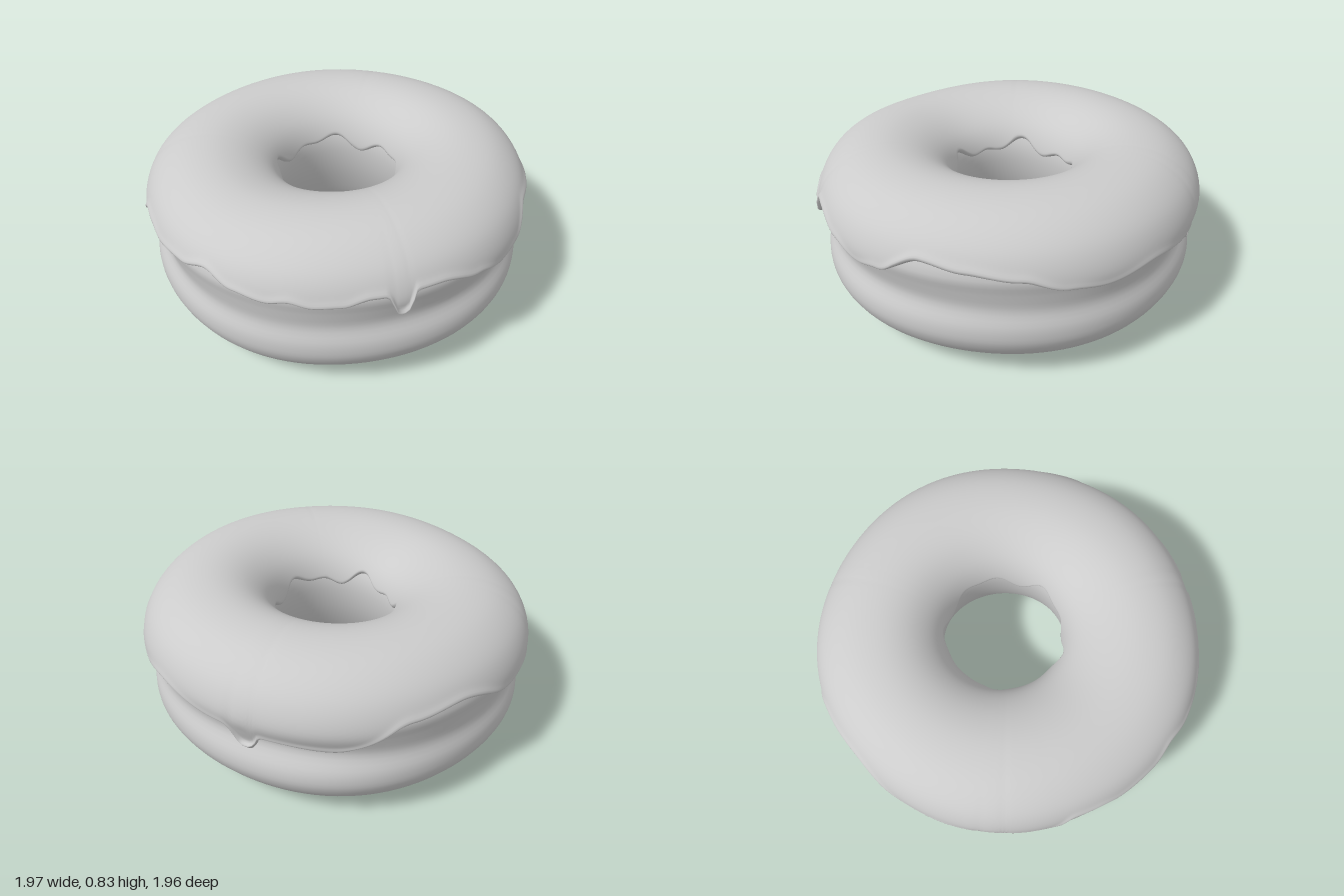
import * as THREE from 'three';

const RAD = Math.PI / 180;
const bell = (x, w) => Math.exp(-(x * x) / (w * w));
// signed angle difference in degrees
const turn = (a, b) => ((a - b + 540) % 360) - 180;

// Dough cross-section (radius, height): from the underside, up the outside, over the top, down the hole
const TOP = 10 / 18;
const profile = new THREE.CatmullRomCurve3([
  [0.62, 0.015], [0.76, 0.035], [0.89, 0.11], [0.955, 0.215], [0.957, 0.3], [0.925, 0.39],
  [0.937, 0.48], [0.95, 0.56], [0.9, 0.67], [0.78, 0.755], [0.62, 0.78], [0.48, 0.745],
  [0.375, 0.665], [0.325, 0.56], [0.325, 0.42], [0.37, 0.25], [0.45, 0.09], [0.53, 0.03],
].map(([r, y]) => new THREE.Vector3(r, y, 0)), true);

// Lower edge of the icing outside: angle from the front (towards +x) and height
const rim = [
  [-85, 0.5], [-76, 0.51], [-69, 0.5], [-53, 0.5], [-46, 0.5], [-38, 0.56], [-31, 0.555],
  [-24, 0.54], [-12, 0.55], [-3, 0.585], [6, 0.55], [15, 0.54], [21, 0.552], [27, 0.54], [34, 0.545],
  [42, 0.57], [60, 0.58], [72, 0.55], [82, 0.52], [90, 0.54], [102, 0.62], [114, 0.6],
  [128, 0.58], [140, 0.54], [150, 0.525], [165, 0.55], [186, 0.51], [202, 0.475], [218, 0.455],
  [238, 0.57], [252, 0.585], [275, 0.5],
];
// Drips: angle, length, half width in degrees
const drips = [[-62, 0.14, 3.6], [49.5, 0.085, 2.6], [194, 0.13, 3.4]];
const dripAmount = (deg, [at, , w]) => Math.exp(-Math.pow(Math.abs(turn(deg, at)) / w, 3));

function rimHeight(deg) {
  const d = deg > 275 ? deg - 360 : deg;
  const i = Math.max(1, rim.findIndex(p => p[0] >= d));
  const [a0, y0] = rim[i - 1], [a1, y1] = rim[i];
  let y = THREE.MathUtils.lerp(y0, y1, THREE.MathUtils.smoothstep(d, a0, a1));
  for (const drip of drips) y -= drip[1] * dripAmount(deg, drip);
  return y;
}

const holeHeight = deg => 0.56 + 0.025 * Math.sin(5 * deg * RAD + 1) + 0.018 * Math.sin(9 * deg * RAD);

// Dough section at an angle: slightly tilted, with an uneven waist and top
function section(deg, t) {
  const p = profile.getPoint(((t % 1) + 1) % 1);
  const a = deg * RAD;
  const outer = THREE.MathUtils.smoothstep(p.x, 0.6, 0.9);
  const top = THREE.MathUtils.smoothstep(p.y, 0.55, 0.78);
  const y = p.y - 0.015 * Math.cos(a + 37 * RAD) - 0.018 * top * bell(turn(deg, -12), 28);
  const waist = bell(p.y - 0.4, 0.09) * outer;
  const r = p.x
    + waist * (0.008 * Math.sin(3 * a + 0.6) - 0.015 * bell(turn(deg, 208), 22))
    + outer * 0.005 * Math.sin(5 * a + 1)
    - (1 - THREE.MathUtils.smoothstep(p.x, 0.3, 0.6)) * 0.025 * Math.cos(a);
  return new THREE.Vector2(r, y);
}

// Position along the section where it reaches a height, between a low and a high end
function findHeight(deg, y, low, high) {
  for (let k = 0; k < 18; k++) {
    const mid = (low + high) / 2;
    if (section(deg, mid).y < y) low = mid; else high = mid;
  }
  return low;
}

// Icing section: the dough surface pushed outwards, with rounded lips tucked into the dough
function icingSection(deg) {
  const start = findHeight(deg, rimHeight(deg), 3 / 18, TOP);
  const end = findHeight(deg, holeHeight(deg), 14 / 18, TOP);
  const drip = Math.max(...drips.map(d => dripAmount(deg, d)));
  return s => {
    const t = THREE.MathUtils.lerp(start, end, s);
    const p = section(deg, t);
    const tangent = section(deg, t + 0.004).sub(section(deg, t - 0.004)).normalize();
    const d = Math.min(s, 1 - s) * 1.3;
    const round = Math.sqrt(1 - Math.pow(1 - Math.min(d / 0.03, 1), 2));
    const lip = s < 0.5 ? bell(d - 0.035, 0.03) * (0.006 + 0.014 * drip) : 0;
    const h = -0.005 + round * (0.035 + lip);
    return p.add(new THREE.Vector2(tangent.y, -tangent.x).multiplyScalar(h));
  };
}

// Surface from sections swept around the vertical axis
function sweep(name, sectionAt, steps, rows, closed, spacing) {
  const pos = [], index = [];
  const cols = closed ? rows : rows + 1;
  for (let i = 0; i < steps; i++) {
    const deg = (i / steps) * 360, at = sectionAt(deg);
    for (let j = 0; j < cols; j++) {
      const p = at(spacing(j / rows));
      pos.push(p.x * Math.sin(deg * RAD), p.y, p.x * Math.cos(deg * RAD));
    }
  }
  for (let i = 0; i < steps; i++) {
    for (let j = 0; j < rows; j++) {
      const n = ((i + 1) % steps) * cols, m = i * cols, k = (j + 1) % cols;
      index.push(m + j, n + j, n + k, m + j, n + k, m + k);
    }
  }
  const geo = new THREE.BufferGeometry();
  geo.setAttribute('position', new THREE.Float32BufferAttribute(pos, 3));
  geo.setIndex(index);
  geo.computeVertexNormals();
  const mesh = new THREE.Mesh(geo, new THREE.MeshStandardMaterial({ color: 0xcccccc, side: THREE.DoubleSide }));
  mesh.name = name;
  return mesh;
}

export function createModel() {
  const group = new THREE.Group();
  group.name = 'donut';
  group.add(sweep('dough', deg => t => section(deg, t), 120, 72, true, s => s));
  // rows gather towards the two lips
  group.add(sweep('icing', icingSection, 360, 48, false, s => (1 - Math.cos(Math.PI * s)) / 2));
  return group;
}
